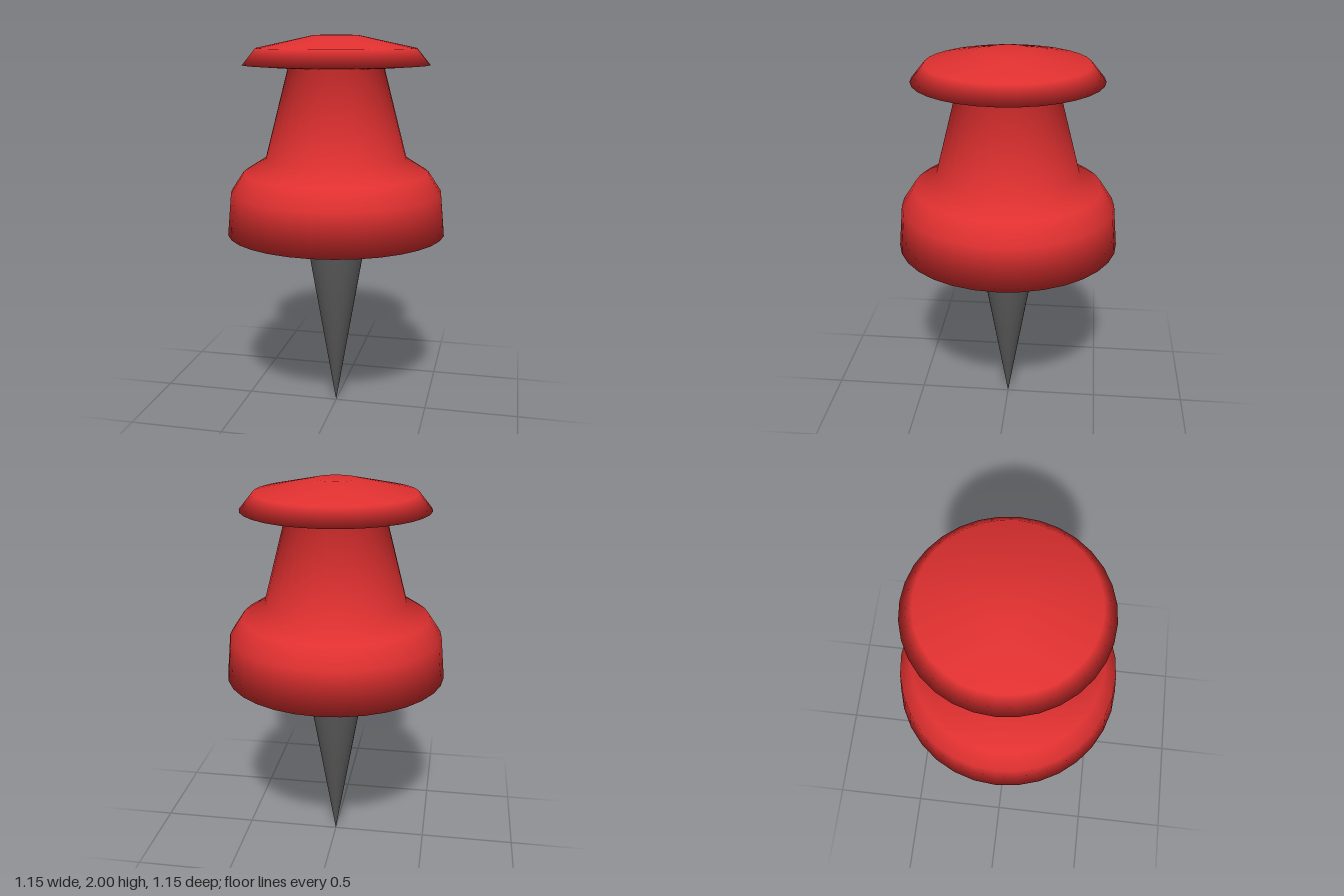
import * as THREE from 'three';

const SIDES = 32;

// Revolves a profile of [radius, height] pairs, listed from bottom to top
function turned(name, profile, color) {
  const points = profile.map(([r, y]) => new THREE.Vector2(r, y));
  const mesh = new THREE.Mesh(
    new THREE.LatheGeometry(points, SIDES),
    new THREE.MeshStandardMaterial({ color })
  );
  mesh.name = name;
  return mesh;
}

export function createModel() {
  const group = new THREE.Group();
  group.name = 'pushPin';

  // Plastic handle: closed base, shoulder, tapered neck and domed cap
  group.add(turned('handle', [
    [0, 0.98], [0.574, 0.98],
    [0.553, 1.2], [0.487, 1.3], [0.368, 1.375],
    [0.248, 1.835], [0.48, 1.852],
    [0.412, 1.935], [0.11, 2], [0, 2],
  ], 0xe03030));

  // Metal point
  group.add(turned('needle', [[0, 0], [0.167, 0.98], [0, 0.98]], 0x555555));

  return group;
}
